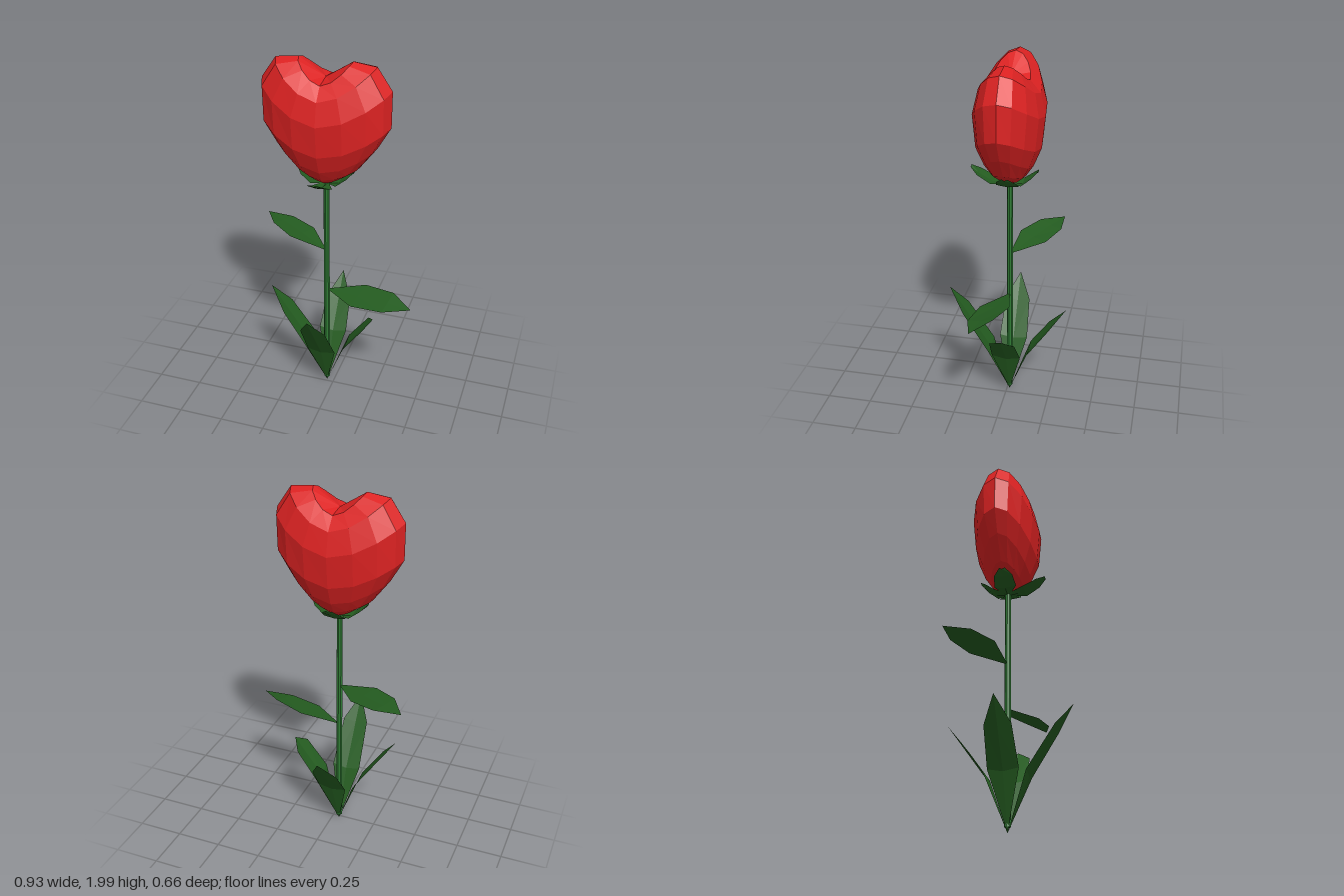
import * as THREE from 'three';

const CX = -0.04, CZ = -0.015;

const paint = (color) => new THREE.MeshStandardMaterial({ color, flatShading: true, side: THREE.DoubleSide });

// Surface from rows of points, each row having the same count
function skin(rows, material, name) {
  const n = rows[0].length, index = [];
  for (let r = 0; r < rows.length - 1; r++) {
    for (let c = 0; c < n - 1; c++) {
      const a = r * n + c, b = a + n;
      index.push(a, a + 1, b, a + 1, b + 1, b);
    }
  }
  const geometry = new THREE.BufferGeometry();
  geometry.setAttribute('position', new THREE.Float32BufferAttribute(rows.flat(2), 3));
  geometry.setIndex(index);
  geometry.computeVertexNormals();
  const mesh = new THREE.Mesh(geometry, material);
  mesh.name = name;
  return mesh;
}

// Leaf along +z with a midrib; sections are [reach, height, half width]
function leaf(name, sections, angle, material, fold = 0.01, tilt = 0) {
  const rows = sections.map(([r, y, w]) => [-1, 0, 1].map((s) => {
    const k = w > 0 ? 1 : 0;
    return [s * w, y + k * (Math.abs(s) * fold + s * tilt), r];
  }));
  const mesh = skin(rows, material, name);
  mesh.position.set(CX, 0, CZ);
  mesh.rotation.y = angle;
  return mesh;
}

// Heart-shaped bloom: rings are [half width, y at sides, y at middle, half depth]
function bloom(material) {
  const rings = [
    [0, 1.33, 1.33, 0], [0.10, 1.385, 1.345, 0.045], [0.18, 1.44, 1.38, 0.085],
    [0.27, 1.56, 1.44, 0.125], [0.338, 1.68, 1.54, 0.165], [0.338, 1.87, 1.71, 0.182],
    [0.26, 1.985, 1.83, 0.155], [0.14, 2.0, 1.895, 0.1], [0, 1.91, 1.91, 0],
  ];
  const sides = 16;
  const rows = rings.map(([a, ySide, yMid, b]) => Array.from({ length: sides + 1 }, (_, i) => {
    const t = -(i / sides) * Math.PI * 2;
    const y = yMid + (ySide - yMid) * Math.abs(Math.cos(t)) ** 1.7;
    return [CX + a * Math.cos(t), y, CZ + b * Math.sin(t)];
  }));
  return skin(rows, material, 'bloom');
}

export function createModel() {
  const group = new THREE.Group();
  group.name = 'flower';
  const red = paint(0xdd2222), green = paint(0x245c20), stemGreen = paint(0x2f7a34);

  group.add(bloom(red));

  // Stem
  const stem = new THREE.Mesh(new THREE.CylinderGeometry(0.016, 0.018, 1.3, 8), stemGreen);
  stem.name = 'stem';
  stem.position.set(CX, 0.69, CZ);
  group.add(stem);

  // Sepals under the bloom: angle and reach
  [[0, 0.21], [Math.PI / 2, 0.15], [Math.PI, 0.15], [-Math.PI / 2, 0.155]].forEach(([angle, reach]) => {
    group.add(leaf('sepal', [
      [0, 1.322, 0.012], [reach * 0.45, 1.335, 0.06], [reach * 0.8, 1.375, 0.05], [reach, 1.405, 0.015],
    ], angle, green, 0.008));
  });

  // Blades at the base: angle, tip reach, tip height
  [[0, 0.345, 0.66], [Math.PI / 2, 0.27, 0.505], [Math.PI, 0.318, 0.585], [-Math.PI / 2, 0.33, 0.615]].forEach(([angle, reach, top]) => {
    const shoulder = top - 0.14 + (reach < 0.3 ? 0.08 : 0);
    group.add(leaf('baseBlade', [
      [0, 0.01, 0], [0.11, 0.29, 0.08], [0.11 + (reach - 0.11) * (shoulder - 0.29) / (top - 0.29), shoulder, 0.07],
      [reach, top, 0],
    ], angle, green, 0.015));
  });

  // Leaves on the stem
  group.add(leaf('rightStemLeaf', [
    [0, 0.91, 0], [0.2, 0.935, 0.088], [0.36, 0.95, 0.073], [0.49, 0.955, 0],
  ], Math.atan2(-0.43, -0.24), green, 0.005, 0.008));
  group.add(leaf('leftStemLeaf', [
    [0, 0.66, 0], [0.2, 0.68, 0.088], [0.38, 0.697, 0.073], [0.518, 0.698, 0],
  ], Math.atan2(0.505, 0.115), green, 0.002, 0.02));

  return group;
}
